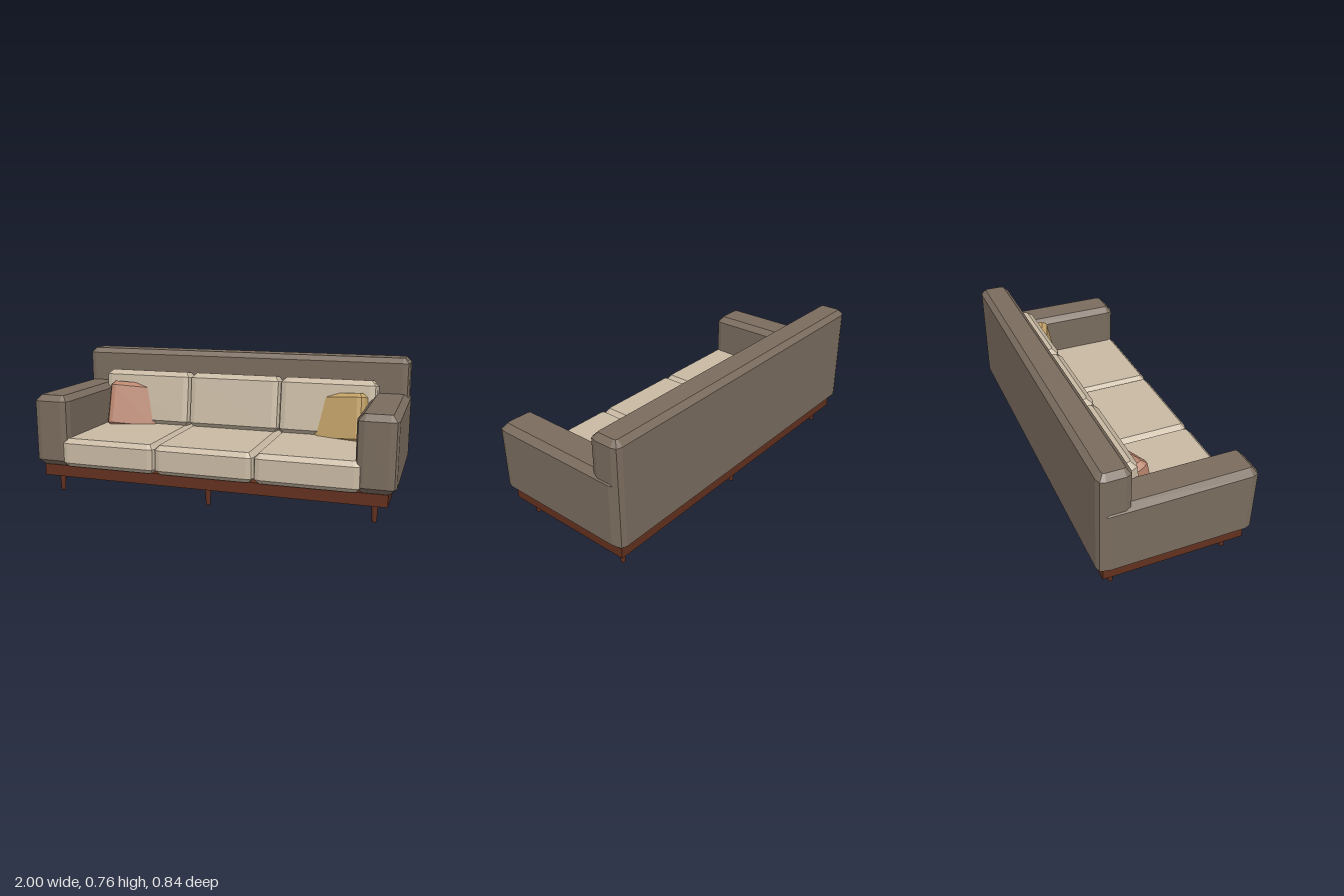
import * as THREE from 'three';

const material = (name, color) => {
  const m = new THREE.MeshStandardMaterial({ color });
  m.name = name;
  return m;
};

// Upholstered block centred on its origin: rounded upright corners, chamfered top and bottom
function paddedBox(w, h, d, bevel = 0.028, corner = 0.014) {
  const x = w / 2 - bevel, y = d / 2 - bevel, r = corner;
  const s = new THREE.Shape();
  s.moveTo(-x + r, -y);
  s.lineTo(x - r, -y);
  s.quadraticCurveTo(x, -y, x, -y + r);
  s.lineTo(x, y - r);
  s.quadraticCurveTo(x, y, x - r, y);
  s.lineTo(-x + r, y);
  s.quadraticCurveTo(-x, y, -x, y - r);
  s.lineTo(-x, -y + r);
  s.quadraticCurveTo(-x, -y, -x + r, -y);
  const g = new THREE.ExtrudeGeometry(s, {
    depth: h - 2 * bevel, bevelEnabled: true, bevelSegments: 1,
    bevelSize: bevel, bevelThickness: bevel, curveSegments: 2,
  });
  g.rotateX(-Math.PI / 2);
  g.center();
  return g;
}

export function createModel() {
  const sofa = new THREE.Group();
  sofa.name = 'sofa';
  const frameFabric = material('taupe fabric', 0x7a6c5e);
  const cushionFabric = material('cream fabric', 0xc8b9a3);
  const wood = material('dark wood', 0x62301f);
  const pink = material('terracotta fabric', 0xb8846c);
  const gold = material('mustard fabric', 0xc4a368);

  const add = (name, geometry, mat, x, y, z) => {
    const mesh = new THREE.Mesh(geometry, mat);
    mesh.name = name;
    mesh.position.set(x, y, z);
    sofa.add(mesh);
    return mesh;
  };

  // Wooden plinth and tapered legs
  add('plinth', new THREE.BoxGeometry(1.92, 0.065, 0.765), wood, 0, 0.1335, 0);
  const leg = new THREE.CylinderGeometry(0.018, 0.012, 0.102, 12);
  for (const x of [-0.89, 0, 0.89])
    for (const z of [-0.315, 0.315]) add('leg', leg, wood, x, 0.051, z);

  // Backrest and arms
  add('backrest', paddedBox(1.986, 0.6, 0.17), frameFabric, 0, 0.465, -0.333);
  const arm = paddedBox(0.207, 0.4, 0.81, 0.032);
  for (const side of [-1, 1])
    add(side > 0 ? 'leftArm' : 'rightArm', arm, frameFabric, side * 0.8965, 0.365, 0.005);

  // Three seat cushions with three leaning back cushions
  const seat = paddedBox(0.553, 0.162, 0.668, 0.025);
  const backCushion = paddedBox(0.553, 0.33, 0.17, 0.03);
  for (const i of [-1, 0, 1]) {
    add('seatCushion', seat, cushionFabric, i * 0.553, 0.247, 0.084);
    add('backCushion', backCushion, cushionFabric, i * 0.553, 0.474, -0.209).rotation.x = -0.14;
  }

  // Throw pillows turned inwards at both ends
  const pillow = paddedBox(0.3, 0.28, 0.1, 0.025, 0.01);
  for (const side of [-1, 1]) {
    const p = add('throwPillow', pillow, side < 0 ? pink : gold, side * 0.638, 0.432, -0.13);
    p.rotation.set(-0.2, -side * 0.35, side * 0.1, 'YXZ');
  }
  return sofa;
}
